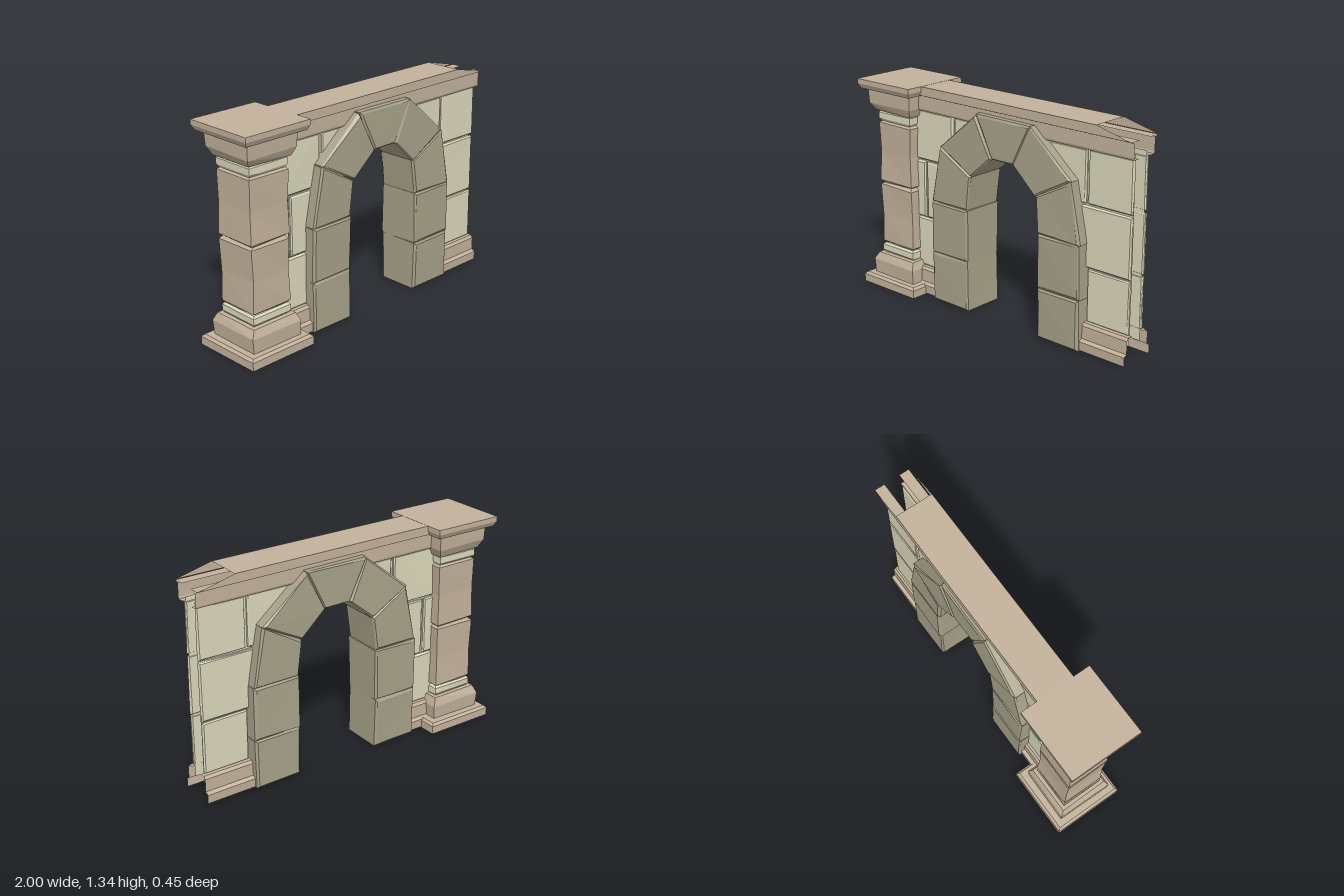
import * as THREE from 'three';

const stoneMat = (color) => new THREE.MeshStandardMaterial({ color, flatShading: true, side: THREE.DoubleSide });

// Small repeatable offset from a position, so shared corners move together
function hash(x, y, z, k) {
  const s = Math.sin(Math.round(x * 500) * 12.9898 + Math.round(y * 500) * 78.233 + Math.round(z * 500) * 37.719 + k * 17.17) * 43758.5453;
  return (s - Math.floor(s)) * 2 - 1;
}
function roughen(geo, amount) {
  const p = geo.attributes.position;
  for (let i = 0; i < p.count; i++) {
    const [x, y, z] = [p.getX(i), p.getY(i), p.getZ(i)];
    const dy = y < 0.02 ? 0 : hash(x, y, z, 2) * amount;
    p.setXYZ(i, x + hash(x, y, z, 1) * amount, y + dy, z + hash(x, y, z, 3) * amount);
  }
  geo.computeVertexNormals();
  return geo;
}

// Bevelled stone from an outline in the xy plane, between two depths
function stone(points, z0, z1, bevel, rough) {
  const shape = new THREE.Shape(points.map(([x, y]) => new THREE.Vector2(x, y)));
  const geo = new THREE.ExtrudeGeometry(shape, {
    depth: z1 - z0 - 2 * bevel, bevelThickness: bevel, bevelSize: bevel, bevelOffset: -bevel, bevelSegments: 1,
  });
  geo.translate(0, 0, z0 + bevel);
  return roughen(geo, rough);
}

// Square turned section: profile of [half width, height]
function squareLathe(profile, rough) {
  const pts = profile.map(([r, y]) => new THREE.Vector2(r * Math.SQRT2, y));
  return roughen(new THREE.LatheGeometry(pts, 4, Math.PI / 4), rough);
}

// Open moulding: profile of [z, y] swept from x0 to x1
function moulding(profile, x0, x1, side) {
  const pos = [], idx = [];
  profile.forEach(([z, y], i) => {
    pos.push(x0, y, z * side, x1, y, z * side);
    if (!i) return;
    const a = 2 * i - 2;
    if (side > 0) idx.push(a, a + 1, a + 3, a, a + 3, a + 2);
    else idx.push(a, a + 3, a + 1, a, a + 2, a + 3);
  });
  const geo = new THREE.BufferGeometry();
  geo.setAttribute('position', new THREE.Float32BufferAttribute(pos, 3));
  geo.setIndex(idx);
  geo.computeVertexNormals();
  return geo;
}

export function createModel() {
  const root = new THREE.Group();
  const trim = stoneMat(0xc3b29b), wall = stoneMat(0xdcd8bc), archStone = stoneMat(0xa8a28a);
  const add = (parent, name, geo, mat) => {
    const mesh = new THREE.Mesh(geo, mat);
    mesh.name = name;
    parent.add(mesh);
    return mesh;
  };
  const group = (name) => {
    const g = new THREE.Group();
    g.name = name;
    root.add(g);
    return g;
  };

  // Pillar, stacked from the ground up
  const pillar = group('pillar');
  pillar.position.x = -0.775;
  add(pillar, 'pillarPlinth', squareLathe([[0, 0], [0.225, 0], [0.225, 0.05], [0.21, 0.065], [0, 0.065]], 0), trim);
  add(pillar, 'pillarBase', squareLathe([[0.172, 0.065], [0.176, 0.15], [0.155, 0.2], [0, 0.2]], 0.004), trim);
  for (const [y0, y1] of [[0.2, 0.265], [1.07, 1.135]])
    add(pillar, 'pillarCollar', squareLathe([[0.125, y0], [0.136, y0 + 0.015], [0.136, y1 - 0.012], [0.125, y1]], 0.002), wall);
  for (const [y0, y1] of [[0.262, 0.67], [0.67, 1.072]])
    add(pillar, 'pillarShaft', squareLathe([[0.12, y0], [0.136, y0 + 0.015], [0.131, (y0 + y1) / 2], [0.136, y1 - 0.015], [0.12, y1]], 0.004), trim);
  add(pillar, 'pillarCapital', squareLathe([[0.125, 1.132], [0.148, 1.135], [0.172, 1.185], [0.178, 1.275]], 0.004), trim);
  add(pillar, 'pillarCap', squareLathe([[0, 1.275], [0.21, 1.275], [0.225, 1.305], [0.225, 1.335], [0, 1.335]], 0), trim);

  // Arch: two legs of stacked blocks and five wedge stones
  const arch = group('arch');
  const outer = [[-0.46, 0], [-0.46, 0.315], [-0.46, 0.645], [-0.385, 1.0], [-0.09, 1.245],
    [0.32, 1.245], [0.615, 0.99], [0.685, 0.635], [0.685, 0.31], [0.685, 0]];
  const inner = [[-0.165, 0], [-0.165, 0.315], [-0.165, 0.645], [-0.135, 0.86], [0.03, 1.0],
    [0.2, 1.0], [0.36, 0.85], [0.385, 0.635], [0.385, 0.31], [0.385, 0]];
  for (let i = 0; i < outer.length - 1; i++) {
    const half = 0.137 + 0.003 * (i % 2);
    const name = i < 2 || i > 6 ? 'archLegBlock' : i === 4 ? 'keystone' : 'archWedge';
    add(arch, name, stone([outer[i], outer[i + 1], inner[i + 1], inner[i]], -half, half, 0.011, 0.005), archStone);
  }

  // Hollow wall: a front and a back skin with an opening under the arch
  const blocks = [
    [-0.7, -0.37, 0.17, 0.485], [-0.7, -0.58, 0.495, 0.852], [-0.565, -0.33, 0.495, 0.852],
    [-0.7, -0.342, 0.865, 1.175], [-0.322, -0.15, 0.865, 1.175],
    [0.695, 0.985, 0.17, 0.485], [0.54, 0.985, 0.495, 0.852],
    [0.38, 0.672, 0.865, 1.175], [0.688, 0.985, 0.865, 1.175],
  ];
  const skin = new THREE.Shape([
    [-0.7, 0.1], [-0.3, 0.1], [-0.3, 0.65], [-0.25, 0.93], [-0.03, 1.12], [0.26, 1.12],
    [0.48, 0.92], [0.53, 0.65], [0.53, 0.1], [0.98, 0.1], [0.98, 1.2], [-0.7, 1.2],
  ].map(([x, y]) => new THREE.Vector2(x, y)));
  const footing = [[0.115, 0.005], [0.118, 0.06], [0.095, 0.072], [0.095, 0.15], [0.082, 0.167], [0.05, 0.167]];
  const frieze = [[0.05, 1.178], [0.088, 1.178], [0.092, 1.19], [0.092, 1.27], [0.115, 1.28], [0.05, 1.28]];
  for (const side of [1, -1]) {
    const face = group(side > 0 ? 'frontWall' : 'backWall');
    const joints = new THREE.ShapeGeometry(skin);
    if (side < 0) joints.rotateY(Math.PI).scale(-1, 1, 1);
    joints.translate(0, 0, 0.049 * side);
    add(face, 'wallJoints', joints, wall);
    for (const [x0, x1, y0, y1] of blocks) {
      const z = [0.046 * side, 0.07 * side].sort((a, b) => a - b);
      add(face, 'wallBlock', stone([[x0, y0], [x1, y0], [x1, y1], [x0, y1]], z[0], z[1], 0.007, 0.002), wall);
    }
    add(face, 'wallFooting', moulding(footing, -0.65, -0.3, side), trim);
    add(face, 'wallFooting', moulding(footing, 0.53, 1, side), trim);
    add(face, 'wallFrieze', moulding(frieze, -0.7, 1, side), trim);

    // Cornice edge, broken away to a slope at its free end
    const edge = new THREE.Shape([[-0.6, 1.28], [1, 1.28], [0.77, 1.335], [-0.6, 1.335]].map(([x, y]) => new THREE.Vector2(x, y)));
    add(face, 'corniceEdge', new THREE.ShapeGeometry(edge).translate(0, 0, 0.12 * side), trim);
  }

  // Flat top joining both cornice edges
  const top = new THREE.PlaneGeometry(1.37, 0.24).rotateX(-Math.PI / 2).translate(0.085, 1.334, 0);
  add(root, 'corniceTop', top, trim);
  return root;
}
